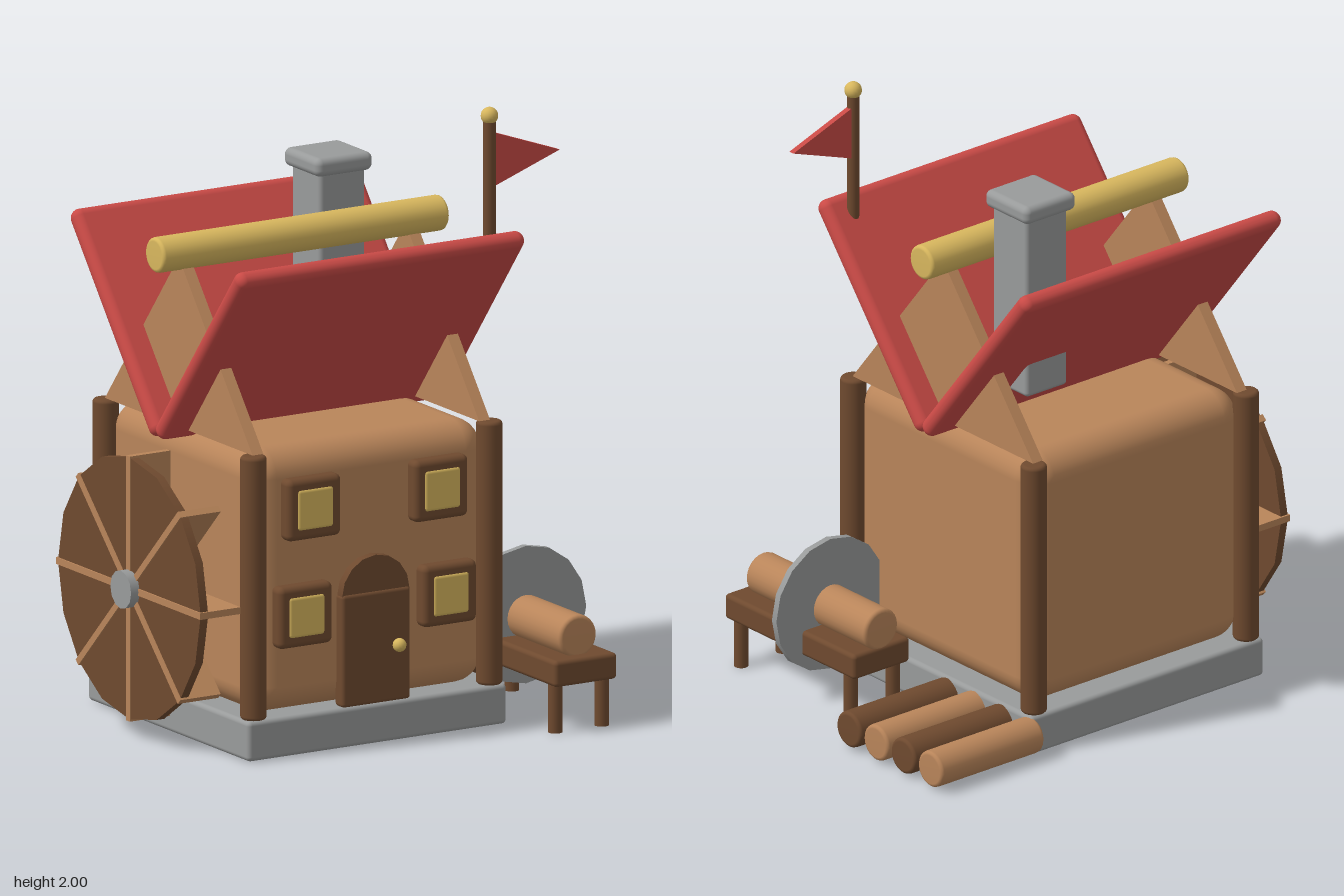
import * as THREE from 'three';
import { RoundedBoxGeometry } from 'three/addons/geometries/RoundedBoxGeometry.js';

const CX = -0.12, CZ = -0.084; // centre of the house

export function createModel() {
  const model = new THREE.Group();
  model.name = 'sawmill';

  const paint = (name, color) => {
    const m = new THREE.MeshStandardMaterial({ color });
    m.name = name;
    return m;
  };
  const lightWood = paint('light wood', 0xb9855a);
  const darkWood = paint('dark wood', 0x6f4a2f);
  const stone = paint('grey stone', 0x999b9b);
  const red = paint('red', 0xc94a46);
  const gold = paint('gold', 0xd8b75e);

  const add = (name, geo, mat, x, y, z, parent = model) => {
    const mesh = new THREE.Mesh(geo, mat);
    mesh.name = name;
    mesh.position.set(x, y, z);
    parent.add(mesh);
    return mesh;
  };
  const rounded = (w, h, d, r) => new RoundedBoxGeometry(w, h, d, 4, r);
  const cylinder = (r, h, sides = 24) => new THREE.CylinderGeometry(r, r, h, sides);

  // Round bar with softened ends, standing along y
  const bar = (r, len, b = 0.012) => {
    const h = len / 2, pts = [new THREE.Vector2(0, -h)];
    for (let i = 0; i <= 3; i++) {
      const a = (i / 3) * Math.PI / 2;
      pts.push(new THREE.Vector2(r - b + b * Math.sin(a), -h + b - b * Math.cos(a)));
    }
    for (let i = 0; i <= 3; i++) {
      const a = (i / 3) * Math.PI / 2;
      pts.push(new THREE.Vector2(r - b + b * Math.cos(a), h - b + b * Math.sin(a)));
    }
    pts.push(new THREE.Vector2(0, h));
    return new THREE.LatheGeometry(pts, 24);
  };

  // Base, walls and corner posts
  add('base', rounded(0.96, 0.13, 0.96, 0.015), stone, CX, 0.067, CZ);
  add('walls', rounded(0.88, 0.855, 0.88, 0.09), lightWood, CX, 0.5575, CZ);
  for (const sx of [-1, 1]) for (const sz of [-1, 1])
    add('cornerPost', bar(0.042, 0.855), darkWood, CX + sx * 0.437, 0.5575, CZ + sz * 0.44);

  // Triangular gables
  const tri = new THREE.Shape([
    new THREE.Vector2(-0.44, 0), new THREE.Vector2(0.44, 0), new THREE.Vector2(0, 0.55)]);
  const gableGeo = new THREE.ExtrudeGeometry(tri, { depth: 0.04, bevelEnabled: false });
  gableGeo.translate(0, 0, -0.02).rotateY(Math.PI / 2);
  for (const s of [-1, 1]) add('gable', gableGeo, lightWood, CX + s * 0.42, 0.985, CZ);

  // Roof slabs in a V, with the ridge beam above
  const tilt = Math.atan(1.25);
  for (const s of [-1, 1])
    add('roofSlab', rounded(1.065, 0.06, 0.8, 0.029), red, CX, 1.278, CZ + s * 0.254).rotation.x = -s * tilt;
  add('ridgeBeam', bar(0.057, 1.062), gold, CX, 1.553, CZ).rotation.z = Math.PI / 2;

  // Chimney
  add('chimney', rounded(0.17, 0.62, 0.17, 0.015), stone, 0.093, 1.41, -0.241);
  add('chimneyCap', rounded(0.21, 0.06, 0.21, 0.022), stone, 0.094, 1.735, -0.244);

  // Windows
  for (const [x, y] of [[-0.357, 0.797], [0.114, 0.797], [-0.389, 0.452], [0.146, 0.452]]) {
    add('windowFrame', rounded(0.2, 0.2, 0.06, 0.02), darkWood, x, y, 0.375);
    add('windowPane', rounded(0.135, 0.135, 0.03, 0.012), gold, x, y, 0.394);
  }

  // Door with arched top and knob
  add('door', rounded(0.254, 0.365, 0.05, 0.012), darkWood, -0.122, 0.3125, 0.368);
  const arch = new THREE.CylinderGeometry(0.125, 0.125, 0.045, 16);
  add('doorArch', arch, darkWood, -0.122, 0.487, 0.364).rotation.x = Math.PI / 2;
  add('doorKnob', new THREE.SphereGeometry(0.022, 16, 12), gold, -0.05, 0.315, 0.412);

  // Flag and pole
  add('flagPole', cylinder(0.02, 0.46), darkWood, 0.318, 1.73, 0.356);
  add('poleBall', new THREE.SphereGeometry(0.028, 16, 12), gold, 0.318, 1.972, 0.356);
  const pennant = new THREE.Shape([
    new THREE.Vector2(0, -0.088), new THREE.Vector2(0.245, 0), new THREE.Vector2(0, 0.088)]);
  add('flag', new THREE.ExtrudeGeometry(pennant, { depth: 0.02, bevelEnabled: false }), red, 0.328, 1.83, 0.345);

  // Water wheel: outer disc, eight paddles and hub
  const wheel = new THREE.Group();
  wheel.name = 'waterWheel';
  wheel.position.set(0, 0.485, CZ);
  model.add(wheel);
  add('wheelDisc', cylinder(0.425, 0.028, 16), darkWood, -0.729, 0, 0, wheel).rotation.z = Math.PI / 2;
  for (let i = 0; i < 8; i++) {
    const spoke = new THREE.Group();
    spoke.name = 'paddle';
    spoke.rotation.x = (i * Math.PI) / 4;
    wheel.add(spoke);
    add('paddleBoard', new THREE.BoxGeometry(0.15, 0.43, 0.022), lightWood, -0.673, 0.215, 0, spoke);
  }
  add('wheelHub', cylinder(0.062, 0.22, 12), stone, -0.665, 0, 0, wheel).rotation.z = Math.PI / 2;

  // Saw bench with log and round blade
  add('benchTop', rounded(0.232, 0.085, 0.635, 0.014), darkWood, 0.521, 0.198, 0.291);
  for (const x of [0.435, 0.607]) for (const z of [0.025, 0.56])
    add('benchLeg', cylinder(0.023, 0.17, 16), darkWood, x, 0.085, z);
  add('benchLog', bar(0.069, 0.585), lightWood, 0.521, 0.298, 0.268).rotation.x = Math.PI / 2;
  add('sawBlade', cylinder(0.223, 0.022, 16), stone, 0.521, 0.303, 0.237).rotation.x = Math.PI / 2;

  // Row of logs on the ground
  for (let i = 0; i < 4; i++)
    add('groundLog', bar(0.06, 0.425), i % 2 ? lightWood : darkWood, 0.5535, 0.067, -0.15 - i * 0.1325)
      .rotation.z = Math.PI / 2;

  return model;
}
